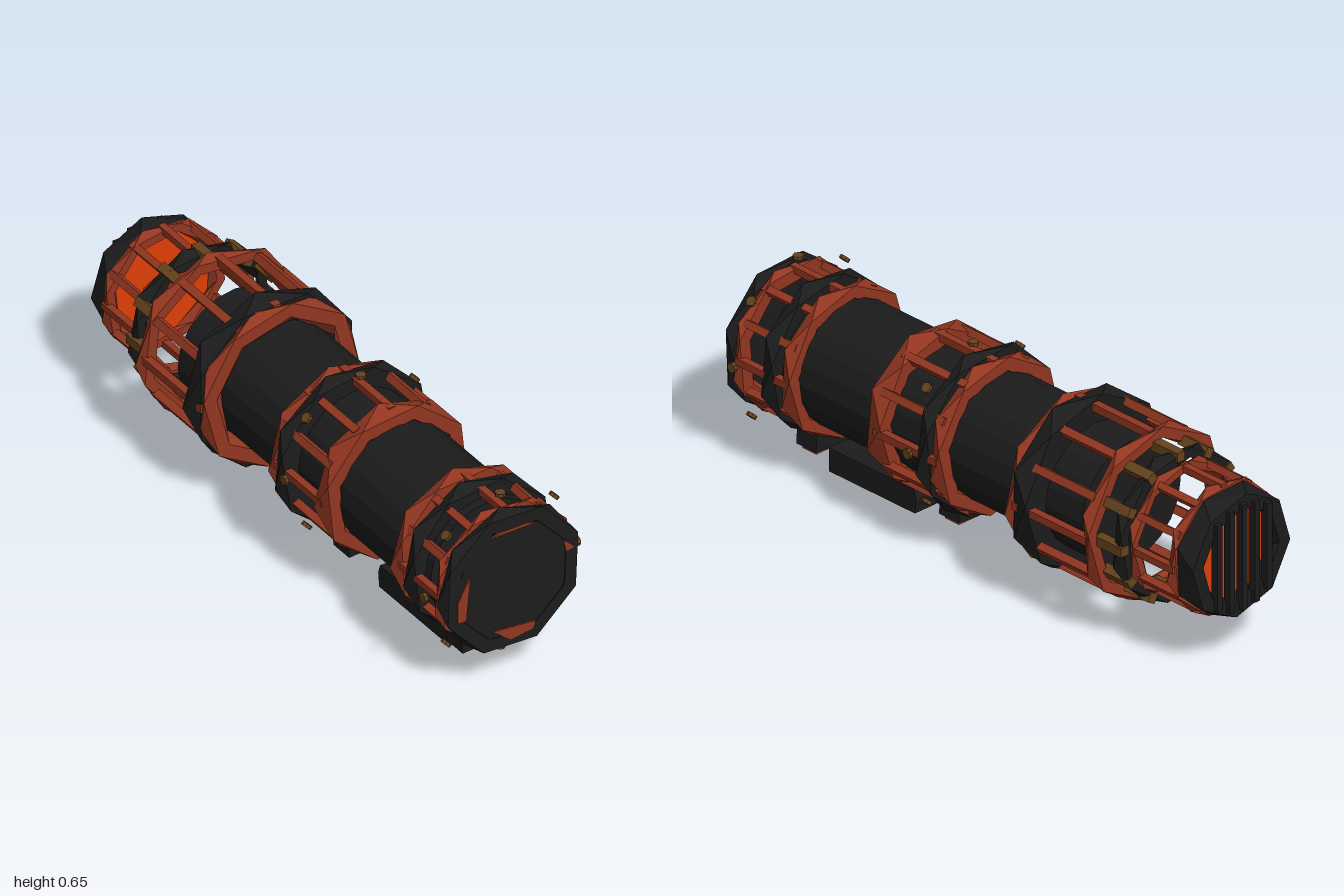
import * as THREE from 'three';

const AXIS = 0.36; // height of the tube axis

export function createModel() {
  const group = new THREE.Group();
  const mat = (name, color) => {
    const m = new THREE.MeshStandardMaterial({ color });
    m.name = name;
    return m;
  };
  const dark = mat('charcoal', 0x1c1c1c);
  const rust = mat('rust red', 0x923620);
  const brass = mat('old brass', 0x65431c);
  const glow = mat('ember orange', 0xe03f08);
  glow.side = THREE.DoubleSide;

  const add = (name, geo, material, x = 0, y = AXIS, z = 0) => {
    const g = geo.index ? geo.toNonIndexed() : geo;
    g.computeVertexNormals(); // faceted look
    const mesh = new THREE.Mesh(g, material);
    mesh.name = name;
    mesh.position.set(x, y, z);
    group.add(mesh);
    return mesh;
  };

  // Faceted collar around the z axis, twisted between its two faces
  const ring = (name, material, z0, z1, rOut, rIn, turn = 0, twist = 0, rOut1 = rOut) => {
    const profile = [[rOut, z0], [rOut1, z1], [rIn, z1], [rIn, z0], [rOut, z0]]
      .map(([r, z]) => new THREE.Vector2(r, z));
    const geo = new THREE.LatheGeometry(profile, 8);
    geo.rotateX(Math.PI / 2);
    const p = geo.attributes.position;
    for (let i = 0; i < p.count; i++) {
      const a = turn + twist * (p.getZ(i) - z0) / (z1 - z0);
      const x = p.getX(i), y = p.getY(i);
      p.setXY(i, x * Math.cos(a) - y * Math.sin(a), x * Math.sin(a) + y * Math.cos(a));
    }
    return add(name, geo, material);
  };

  // Bars parallel to the axis, spread evenly round it
  const rods = (name, material, z0, z1, r, count, size) => {
    for (let i = 0; i < count; i++) {
      const a = (i / count) * Math.PI * 2;
      const bar = add(name, new THREE.BoxGeometry(size, size, z1 - z0), material,
        r * Math.cos(a), AXIS + r * Math.sin(a), (z0 + z1) / 2);
      bar.rotation.z = a;
    }
  };

  // Main tube
  const tube = new THREE.CylinderGeometry(0.207, 0.207, 1.37, 20);
  tube.rotateX(Math.PI / 2);
  add('mainTube', tube, dark, 0, AXIS, 0.175);

  // Front cage
  ring('frontRim', dark, 0.955, 0.995, 0.25, 0.205, 0.1, 0.25);
  ring('frontInnerCollar', rust, 0.93, 0.956, 0.25, 0.205, 0.3, 0.2);
  ring('frontClamp', dark, 0.78, 0.83, 0.258, 0.2, 0.2, 0.3);
  ring('frontRearCollar', rust, 0.705, 0.75, 0.252, 0.212, 0.1, 0.35);
  rods('frontRod', rust, 0.72, 0.95, 0.23, 12, 0.024);

  // Front plate with rust slivers
  const plate = new THREE.CylinderGeometry(0.215, 0.215, 0.02, 8);
  plate.rotateX(Math.PI / 2);
  add('frontPlate', plate, dark, 0, AXIS, 0.983);
  const slivers = [
    [[-0.2, 0.28], [-0.17, 0.275], [-0.155, 0.43], [-0.2, 0.35]],
    [[-0.01, 0.15], [0.07, 0.16], [0.08, 0.185], [-0.075, 0.2]],
    [[0.19, 0.395], [0.22, 0.4], [0.18, 0.44]],
    [[-0.08, 0.54], [0.08, 0.54], [0.05, 0.55], [-0.05, 0.55]],
  ];
  for (const pts of slivers) {
    const shape = new THREE.Shape(pts.map(([x, y]) => new THREE.Vector2(x, y)));
    add('frontSliver', new THREE.ExtrudeGeometry(shape, { depth: 0.006, bevelEnabled: false }),
      rust, 0, 0, 0.992);
  }

  // Middle cage
  ring('middleFrontCollar', rust, 0.305, 0.37, 0.262, 0.216, 0.1, 0.4);
  ring('middleClamp', dark, 0.1, 0.145, 0.275, 0.2, 0.3, 0.25);
  ring('middleRearCollar', rust, 0.055, 0.098, 0.26, 0.216, 0.15, 0.35);
  rods('middleRod', rust, 0.07, 0.34, 0.244, 12, 0.025);

  // Large rear cage
  ring('largeFrontCollar', rust, -0.29, -0.255, 0.285, 0.238, 0.3, 0.35);
  ring('largeClamp', dark, -0.355, -0.285, 0.295, 0.206, 0.1, 0.3);
  ring('largeRearCollar', rust, -0.62, -0.585, 0.288, 0.252, 0.1, 0.2);
  rods('largeRod', rust, -0.6, -0.28, 0.265, 12, 0.026);

  // Brass neck
  ring('neckCollar', dark, -0.72, -0.68, 0.252, 0.22, 0.2, 0.3);
  rods('neckRod', brass, -0.725, -0.61, 0.235, 12, 0.032);

  // Tail cage
  ring('tailFrontCollar', rust, -0.745, -0.722, 0.224, 0.2, 0.1, 0.25);
  ring('tailRearCollar', rust, -0.915, -0.885, 0.22, 0.19, 0.3, 0.25);
  rods('tailRod', rust, -0.91, -0.73, 0.205, 12, 0.023);
  ring('tailRim', dark, -0.985, -0.915, 0.205, 0.16, 0.1, 0.25, 0.214);

  // Glowing disc behind the tail grille
  add('glowDisc', new THREE.CircleGeometry(0.188, 16), glow, 0, AXIS, -0.912);
  add('glowBack', new THREE.CircleGeometry(0.165, 16), glow, 0, AXIS, -0.945);
  for (let i = -2; i <= 2; i++) {
    const h = 2 * Math.sqrt(0.18 ** 2 - (i * 0.052) ** 2);
    add('grilleBar', new THREE.BoxGeometry(0.022, h, 0.026), dark, i * 0.052, AXIS, -0.987);
  }

  // Loose bolts circling the front and middle cages
  for (const z of [0.925, 0.17]) {
    for (let i = 0; i < 8; i++) {
      const a = i * Math.PI / 4;
      const bolt = add('bolt', new THREE.CylinderGeometry(0.017, 0.017, 0.012, 8), brass,
        0.275 * Math.cos(a), AXIS + 0.275 * Math.sin(a), z);
      bolt.rotation.z = a - Math.PI / 2;
    }
  }

  // Mounting blocks under the cages, each with a rust sole
  for (const z of [0.81, 0.195]) {
    const block = add('mountBlock', new THREE.BoxGeometry(0.165, 0.095, 0.085), dark, -0.007, 0.097, z);
    block.rotation.z = 0.06;
    add('mountSole', new THREE.BoxGeometry(0.09, 0.01, 0.06), rust, 0.02, 0.044, z);
  }

  // Foot rail with a chamfered rear end
  const side = new THREE.Shape([[0.73, 0], [0.73, 0.08], [0.365, 0.08], [0.355, 0.05], [0.36, 0]]
    .map(([z, y]) => new THREE.Vector2(-z, y)));
  const rail = new THREE.ExtrudeGeometry(side, { depth: 0.12, bevelEnabled: false });
  rail.rotateY(Math.PI / 2);
  add('footRail', rail, dark, -0.06, 0, 0);

  return group;
}
